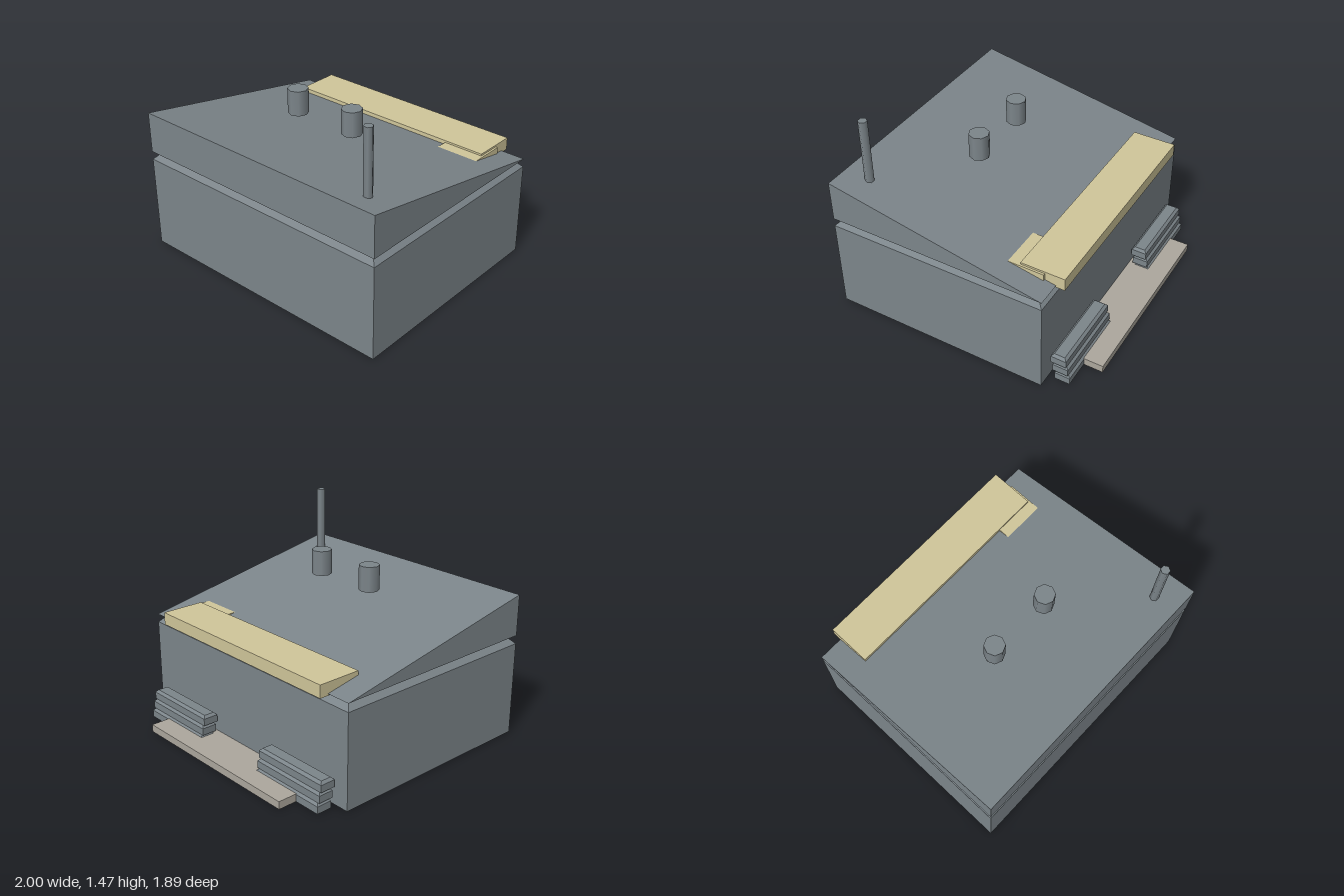
import * as THREE from 'three';

const slate = new THREE.MeshStandardMaterial({ color: 0x7c858a, flatShading: true });
const slateSmooth = new THREE.MeshStandardMaterial({ color: 0x7c858a });
const stone = new THREE.MeshStandardMaterial({ color: 0xaca79d, flatShading: true });
const cream = new THREE.MeshStandardMaterial({ color: 0xd0c69a, flatShading: true });

function add(group, name, geometry, material) {
  const mesh = new THREE.Mesh(geometry, material);
  mesh.name = name;
  group.add(mesh);
  return mesh;
}

// Box given by its extents on each axis
function box(x0, x1, y0, y1, z0, z1, rows = 1) {
  return new THREE.BoxGeometry(x1 - x0, y1 - y0, z1 - z0, 1, rows, 1)
    .translate((x0 + x1) / 2, (y0 + y1) / 2, (z0 + z1) / 2);
}

// Box whose top edges are chamfered by the given bevel
function chamferedBox(x0, x1, y0, y1, z0, z1, bevel) {
  const g = box(x0, x1, y0, y1, z0, z1, 2);
  const p = g.attributes.position;
  const cx = (x0 + x1) / 2, cz = (z0 + z1) / 2;
  for (let i = 0; i < p.count; i++) {
    const y = p.getY(i);
    if (y > y1 - 1e-4) {
      p.setX(i, p.getX(i) - Math.sign(p.getX(i) - cx) * bevel);
      p.setZ(i, p.getZ(i) - Math.sign(p.getZ(i) - cz) * bevel);
    } else if (y > y0 + 1e-4) p.setY(i, y1 - bevel);
  }
  g.computeVertexNormals();
  return g;
}

export function createModel() {
  const model = new THREE.Group();
  model.name = 'building';
  const front = 0.945, back = -0.65;

  // Walls with a chamfered upper rim
  add(model, 'walls', chamferedBox(-1, 1, 0, 0.738, back, front, 0.06), slate);

  // Wedge roof, sloping down to the back
  const profile = new THREE.Shape([
    new THREE.Vector2(-front, 0.738),
    new THREE.Vector2(-back, 0.738),
    new THREE.Vector2(-front, 1.035),
  ]);
  const roof = new THREE.ExtrudeGeometry(profile, { depth: 2, bevelEnabled: false });
  roof.translate(0, 0, -1).rotateY(Math.PI / 2);
  add(model, 'roof', roof, slate);

  // Floating vents and the corner mast
  for (const side of [-1, 1]) {
    add(model, side > 0 ? 'leftVent' : 'rightVent',
      new THREE.CylinderGeometry(0.072, 0.072, 0.18, 8), slateSmooth)
      .position.set(side * 0.24, 1.125, 0.265);
  }
  const mast = new THREE.CylinderGeometry(0.032, 0.032, 0.49, 6).rotateY(Math.PI / 6);
  add(model, 'mast', mast, slateSmooth).position.set(0.8, 1.225, 0.767);

  // Awning along the low edge, with a small panel beside it
  add(model, 'awning', box(-0.82, 0.82, 0.725, 0.815, -0.712, -0.395), cream);
  add(model, 'awningPanel', box(0.52, 0.835, 0.73, 0.801, -0.57, -0.305), cream);

  // Doorstep
  add(model, 'doorstep', box(-0.7, 0.7, 0, 0.055, -0.945, back), stone);

  // Two stacks of chamfered slabs, each layer stepped towards the wall
  for (const side of [-1, 1]) {
    const stack = new THREE.Group();
    stack.name = side > 0 ? 'leftStack' : 'rightStack';
    for (let i = 0; i < 3; i++) {
      const y = i * 0.069, z = -0.75 + i * 0.015;
      add(stack, 'slab', chamferedBox(-0.3, 0.3, y, y + 0.069, z - 0.056, z + 0.056, 0.018), slate);
    }
    stack.position.x = side * 0.6;
    model.add(stack);
  }
  return model;
}
